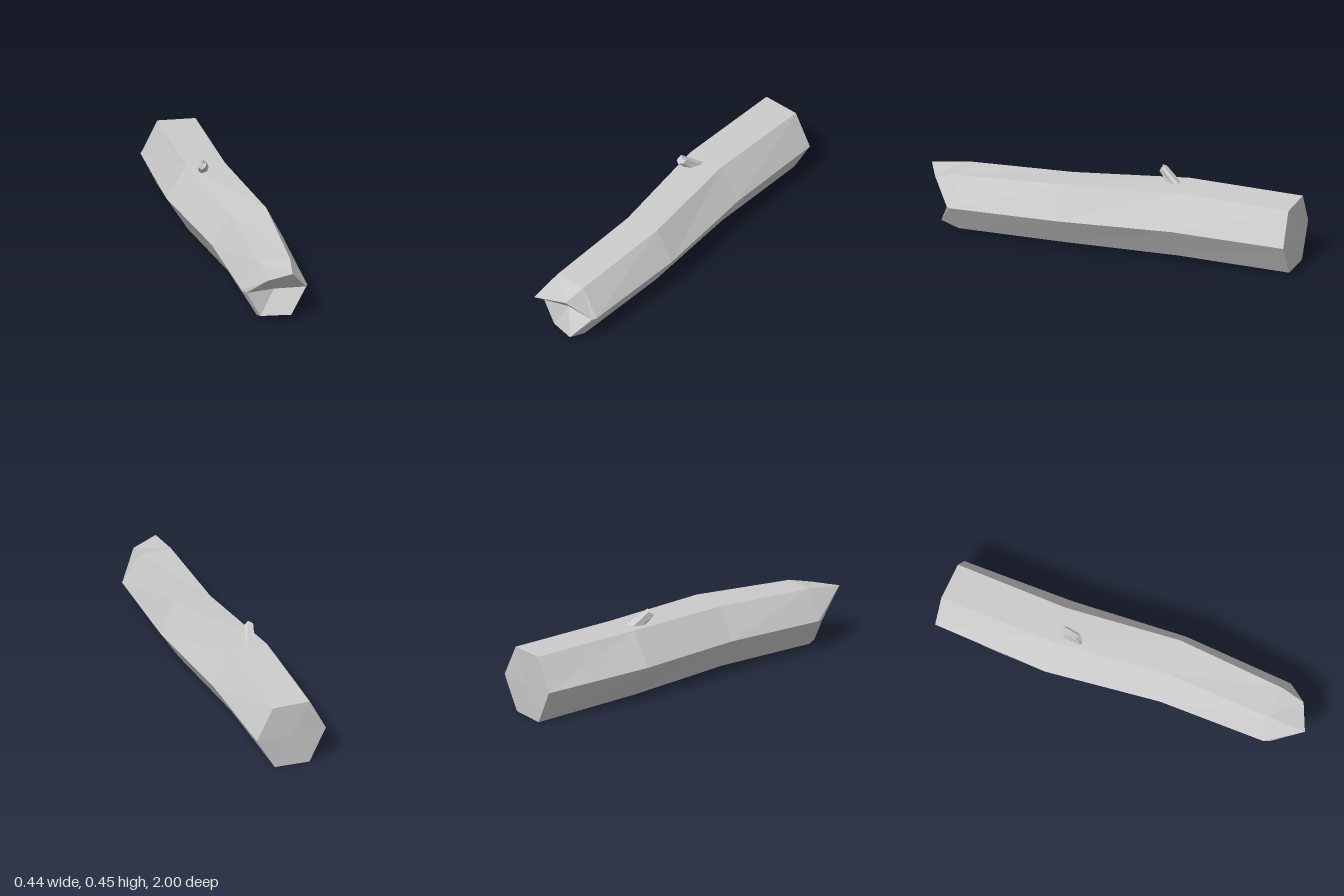
import * as THREE from 'three';

// Skin between closed cross-sections (listed clockwise seen from the far end),
// closed by a fan around a centre point at each end.
function loft(rings, startCentre, endCentre) {
  const pos = [];
  const tri = (a, b, c) => pos.push(...a, ...b, ...c);
  const n = rings[0].length, last = rings[rings.length - 1];
  for (let j = 0; j < n; j++) {
    const k = (j + 1) % n;
    for (let i = 0; i < rings.length - 1; i++) {
      const a = rings[i][j], b = rings[i][k], c = rings[i + 1][k], d = rings[i + 1][j];
      tri(a, d, c);
      tri(a, c, b);
    }
    tri(startCentre, rings[0][j], rings[0][k]);
    tri(endCentre, last[k], last[j]);
  }
  return toGeometry(pos);
}

function toGeometry(pos) {
  const g = new THREE.BufferGeometry();
  g.setAttribute('position', new THREE.Float32BufferAttribute(pos, 3));
  g.computeVertexNormals();
  return g;
}

export function createModel() {
  const group = new THREE.Group();
  const bark = new THREE.MeshStandardMaterial({ color: 0xcccccc, flatShading: true, side: THREE.DoubleSide });
  bark.name = 'bark grey';
  const add = (name, geometry) => {
    const mesh = new THREE.Mesh(geometry, bark);
    mesh.name = name;
    group.add(mesh);
  };

  // Trunk: six-sided sections from the sawn back to the notched front.
  // Order: top left, top right, right, bottom right, bottom left, left.
  const back = [[-0.09, 0.36, -1], [0.11, 0.355, -0.985], [0.2, 0.18, -0.985],
    [0.1, 0.005, -0.985], [-0.09, 0, -0.995], [-0.18, 0.185, -1]];
  const bend = [[-0.115, 0.368, -0.38], [0.085, 0.364, -0.38], [0.19, 0.19, -0.38],
    [0.085, 0.015, -0.38], [-0.112, 0.015, -0.38], [-0.222, 0.193, -0.38]];
  const middle = [[-0.06, 0.342, 0.23], [0.132, 0.353, 0.23], [0.22, 0.182, 0.23],
    [0.12, 0.025, 0.23], [-0.07, 0.02, 0.23], [-0.16, 0.18, 0.23]];
  const neck = [[-0.085, 0.315, 0.8], [0.09, 0.312, 0.81], [0.18, 0.16, 0.82],
    [0.09, 0.013, 0.8], [-0.085, 0.013, 0.8], [-0.165, 0.16, 0.8]];
  const split = [[-0.085, 0.288, 1], [0.067, 0.28, 0.935], [0.167, 0.16, 0.84],
    [0.07, 0.038, 0.9], [-0.077, 0.024, 0.84], [-0.152, 0.16, 0.835]];
  add('trunk', loft([back, bend, middle, neck, split], [0.008, 0.18, -0.993], [0, 0.16, 0.82]));

  // Broken twig stub leaning forward on top.
  const twigBase = [[-0.06, 0.36, -0.355], [-0.01, 0.36, -0.365], [-0.008, 0.36, -0.34],
    [-0.03, 0.36, -0.29], [-0.065, 0.36, -0.27], [-0.075, 0.36, -0.3]];
  const twigTip = [[-0.088, 0.435, -0.265], [-0.065, 0.446, -0.25], [-0.045, 0.43, -0.255],
    [-0.055, 0.41, -0.24], [-0.08, 0.4, -0.23], [-0.095, 0.415, -0.235]];
  add('twigStub', loft([twigBase, twigTip], [-0.04, 0.36, -0.32], [-0.07, 0.42, -0.25]));

  // Thin bark patches lying on the left-hand facets: u runs across, z along.
  const patch = (name, low, high, outline) => {
    const at = ([u, z]) => {
      const t = (z + 1) / 0.62;
      const edge = (j) => new THREE.Vector3(...back[j]).lerp(new THREE.Vector3(...bend[j]), t);
      const a = edge(low), across = edge(high).sub(a);
      const out = new THREE.Vector3(-across.y, across.x, 0).normalize().multiplyScalar(0.003);
      const p = a.addScaledVector(across, u).add(out);
      p.z = z;
      return p.toArray();
    };
    const pts = outline.map(at), pos = [];
    for (let i = 1; i < pts.length - 1; i++) pos.push(...pts[0], ...pts[i], ...pts[i + 1]);
    add(name, toGeometry(pos));
  };
  patch('upperBarkPatch', 5, 0, [[0.4, -0.65], [0.1, -0.73], [0.02, -0.71], [0.03, -0.57],
    [0.4, -0.55], [0.7, -0.58], [0.7, -0.63], [0.88, -0.68], [0.7, -0.73], [0.32, -0.757], [0.1, -0.73]]);
  patch('lowerBarkPatch', 4, 5, [[1, -0.54], [1, -0.72], [0.9, -0.75], [0.82, -0.76]]);

  return group;
}
